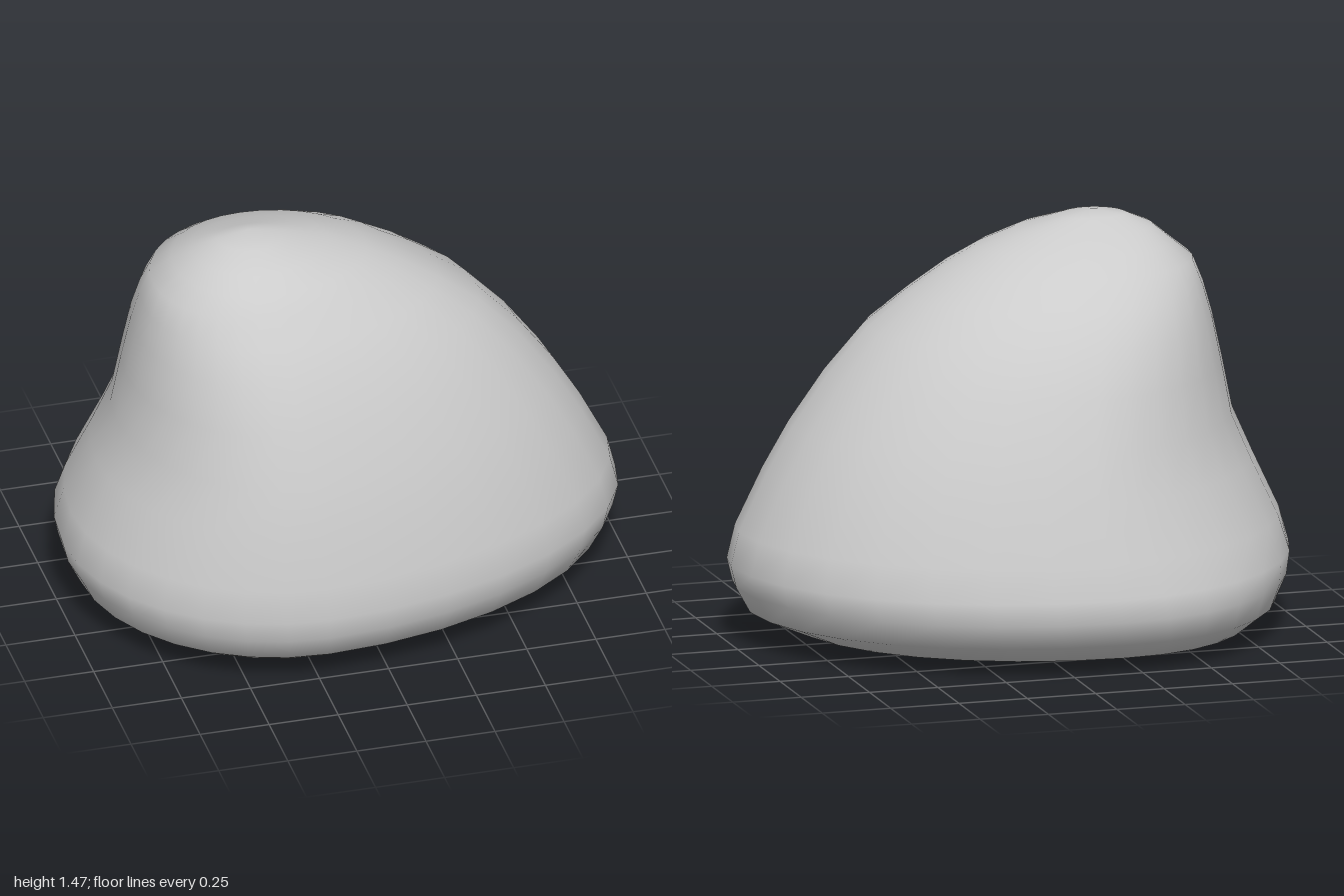
import * as THREE from 'three';

// Cross-sections of the boulder: height, then left-, right-, back- and front-most reach
const LEVELS = [
  [0.008, -0.60, 0.38, -0.46, 0.46],
  [0.042, -0.84, 0.77, -0.69, 0.67],
  [0.11, -0.935, 0.93, -0.78, 0.775],
  [0.20, -0.98, 0.98, -0.82, 0.815],
  [0.28, -1.00, 1.00, -0.815, 0.825],
  [0.40, -0.97, 0.97, -0.775, 0.81],
  [0.60, -0.88, 0.87, -0.71, 0.76],
  [0.76, -0.81, 0.775, -0.645, 0.715],
  [0.94, -0.775, 0.645, -0.57, 0.645],
  [1.10, -0.74, 0.50, -0.48, 0.575],
  [1.21, -0.71, 0.35, -0.38, 0.50],
  [1.30, -0.675, 0.21, -0.28, 0.435],
  [1.36, -0.60, 0.09, -0.19, 0.385],
  [1.41, -0.54, -0.05, -0.075, 0.32],
  [1.45, -0.45, -0.21, 0.03, 0.21],
];
const HEIGHT = 1.47;
const SEGMENTS = 32;

// One point of a section: four super-elliptic quarters joined at the extremes
function sectionPoint([y, xl, xr, zb, zf], angle) {
  const t = y / HEIGHT;
  const bump = Math.sin(Math.PI * t);
  const c = Math.cos(angle), s = Math.sin(angle);
  const front = s >= 0, right = c >= 0;
  const cz = 0.08 + 0.02 * t;
  const cx = -0.21 - 0.12 * t + (front ? 0 : 0.16 * bump);
  // the back-left quarter flattens at mid height, the others stay near round
  let n = 2;
  if (!front && !right) n = 2.25 - 0.4 * bump;
  if (front && right) n = 1.9;
  const px = Math.pow(Math.abs(c), 2 / n), pz = Math.pow(Math.abs(s), 2 / n);
  return [
    cx + px * ((right ? xr : xl) - cx),
    y,
    cz + pz * ((front ? zf : zb) - cz),
  ];
}

function boulderGeometry() {
  const positions = [], index = [];
  for (const level of LEVELS)
    for (let j = 0; j < SEGMENTS; j++)
      positions.push(...sectionPoint(level, (j / SEGMENTS) * Math.PI * 2));

  // poles: underside centre and peak
  const bottom = LEVELS.length * SEGMENTS, top = bottom + 1;
  positions.push(-0.1, 0, 0, -0.33, HEIGHT, 0.1);

  const last = (LEVELS.length - 1) * SEGMENTS;
  for (let j = 0; j < SEGMENTS; j++) {
    const k = (j + 1) % SEGMENTS;
    index.push(bottom, j, k, top, last + k, last + j);
    for (let row = 0; row < last; row += SEGMENTS) {
      const a = row + j, b = row + k;
      index.push(a, a + SEGMENTS, b, b, a + SEGMENTS, b + SEGMENTS);
    }
  }
  const geometry = new THREE.BufferGeometry();
  geometry.setAttribute('position', new THREE.Float32BufferAttribute(positions, 3));
  geometry.setIndex(index);
  geometry.computeVertexNormals();
  return geometry;
}

export function createModel() {
  const group = new THREE.Group();
  group.name = 'rock';
  const boulder = new THREE.Mesh(
    boulderGeometry(),
    new THREE.MeshStandardMaterial({ color: 0xcccccc })
  );
  boulder.name = 'boulder';
  group.add(boulder);
  return group;
}
